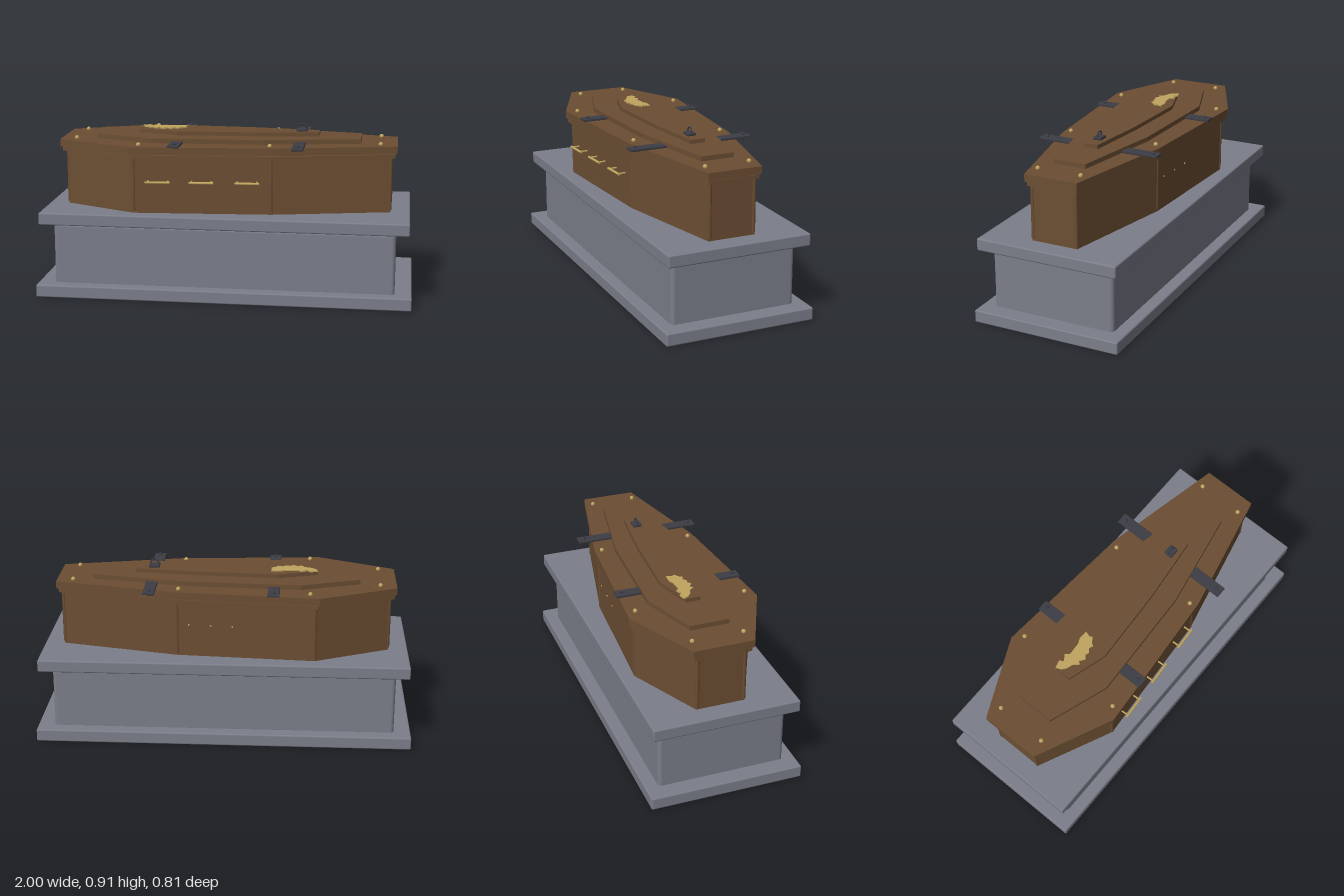
import * as THREE from 'three';
import { RoundedBoxGeometry } from 'three/addons/geometries/RoundedBoxGeometry.js';

const material = (name, color) => {
  const m = new THREE.MeshStandardMaterial({ color });
  m.name = name;
  return m;
};

export function createModel() {
  const stone = material('stone', 0x7b7e8a);
  const wood = material('wood', 0x6b4e33);
  const iron = material('iron', 0x3c3d45);
  const brass = material('brass', 0xc0a560);
  const model = new THREE.Group();
  model.name = 'coffinOnPlinth';

  function add(name, geometry, mat, x = 0, y = 0, z = 0, parent = model) {
    const mesh = new THREE.Mesh(geometry, mat);
    mesh.name = name;
    mesh.position.set(x, y, z);
    parent.add(mesh);
    return mesh;
  }

  // Flat slab from an [x, z] outline, between two heights
  function slab(name, points, y0, y1, mat) {
    const shape = new THREE.Shape(points.map(([x, z]) => new THREE.Vector2(x, -z)));
    const geometry = new THREE.ExtrudeGeometry(shape, { depth: y1 - y0, bevelEnabled: false });
    geometry.rotateX(-Math.PI / 2);
    return add(name, geometry, mat, 0, y0, 0);
  }

  // Full symmetric outline from its front half
  const mirrored = (half) => [...half, ...half.map(([x, z]) => [x, -z]).reverse()];

  // Stone plinth
  add('plinthBase', new RoundedBoxGeometry(2, 0.068, 0.815, 2, 0.008), stone, 0, 0.034, 0);
  add('plinthBlock', new RoundedBoxGeometry(1.82, 0.345, 0.68, 3, 0.02), stone, 0, 0.2225, 0);
  add('plinthTop', new RoundedBoxGeometry(1.96, 0.066, 0.78, 2, 0.008), stone, 0, 0.428, 0);

  // Coffin body, rim and stepped lid
  const bodyHalf = [[-0.875, 0.13], [-0.48, 0.316], [0.25, 0.267], [0.875, 0.127]];
  slab('coffinBody', mirrored(bodyHalf), 0.46, 0.758, wood);
  slab('coffinRim', mirrored([[-0.897, 0.15], [-0.49, 0.339], [0.26, 0.277], [0.893, 0.138]]), 0.756, 0.775, wood);
  slab('lid', mirrored([[-0.907, 0.16], [-0.5, 0.347], [0.27, 0.285], [0.904, 0.145]]), 0.78, 0.82, wood);
  slab('lidMiddleStep', mirrored([[-0.715, 0.105], [-0.4, 0.214], [0.2, 0.185], [0.71, 0.09]]), 0.82, 0.845, wood);
  slab('lidTopStep', mirrored([[-0.49, 0.04], [-0.28, 0.103], [0.13, 0.08], [0.485, 0.04]]), 0.845, 0.866, wood);

  // Slim corner posts
  for (const [x, z] of bodyHalf) for (const side of [1, -1]) {
    add('cornerPost', new THREE.CylinderGeometry(0.011, 0.011, 0.285, 8), wood,
      x * 0.994, 0.6155, side * (z - 0.006));
  }

  // Ragged brass plate
  slab('namePlate', [
    [-0.49, -0.05], [-0.45, -0.06], [-0.435, -0.04], [-0.405, -0.06], [-0.385, -0.04],
    [-0.315, -0.045], [-0.29, -0.057], [-0.24, -0.055], [-0.25, -0.025], [-0.24, -0.012],
    [-0.268, 0.008], [-0.278, 0.024], [-0.3, 0.014], [-0.32, 0.03], [-0.34, 0.024],
    [-0.358, 0.04], [-0.385, 0.02], [-0.4, 0.035], [-0.422, 0.008], [-0.455, -0.003], [-0.478, -0.022],
  ], 0.866, 0.873, brass);

  // Lid studs and iron straps on both sides
  for (const side of [1, -1]) {
    for (const [x, z] of [[-0.82, 0.135], [-0.45, 0.297], [0.24, 0.25], [0.815, 0.12]]) {
      add('lidStud', new THREE.SphereGeometry(0.012, 12, 8), brass, x, 0.826, side * z);
    }
    for (const x of [-0.26, 0.39]) {
      add('strap', new RoundedBoxGeometry(0.062, 0.013, 0.2, 1, 0.003), iron, x, 0.8255, side * 0.24);
      add('strapRivet', new THREE.SphereGeometry(0.01, 10, 6), iron, x, 0.835, side * 0.308);
    }
  }

  // Iron ring on its mount
  add('ringMount', new RoundedBoxGeometry(0.058, 0.016, 0.048, 2, 0.005), iron, 0.39, 0.873, 0);
  add('liftingRing', new THREE.TorusGeometry(0.022, 0.004, 8, 24), iron, 0.39, 0.884, 0);

  // Carrying handles follow the slant of the front side
  const slope = (0.267 - 0.316) / 0.73;
  const sideZ = (x) => 0.316 + (x + 0.48) * slope;
  for (const x of [-0.345, -0.115, 0.125]) {
    const handle = new THREE.Group();
    handle.name = 'handle';
    handle.position.set(x, 0.635, sideZ(x));
    handle.rotation.y = -Math.atan(slope);
    model.add(handle);
    add('handleBar', new THREE.CylinderGeometry(0.007, 0.007, 0.13, 10).rotateZ(Math.PI / 2),
      brass, 0, 0, 0.042, handle);
    for (const dx of [-0.052, 0.052]) {
      add('handlePost', new THREE.CylinderGeometry(0.005, 0.005, 0.046, 8).rotateX(Math.PI / 2),
        brass, dx, 0, 0.019, handle);
    }
  }

  // Small pins on the back side
  for (const x of [-0.045, 0.07, 0.185]) {
    add('backPin', new THREE.CylinderGeometry(0.005, 0.005, 0.008, 8).rotateX(Math.PI / 2),
      brass, x, 0.635, -sideZ(x));
  }
  return model;
}
